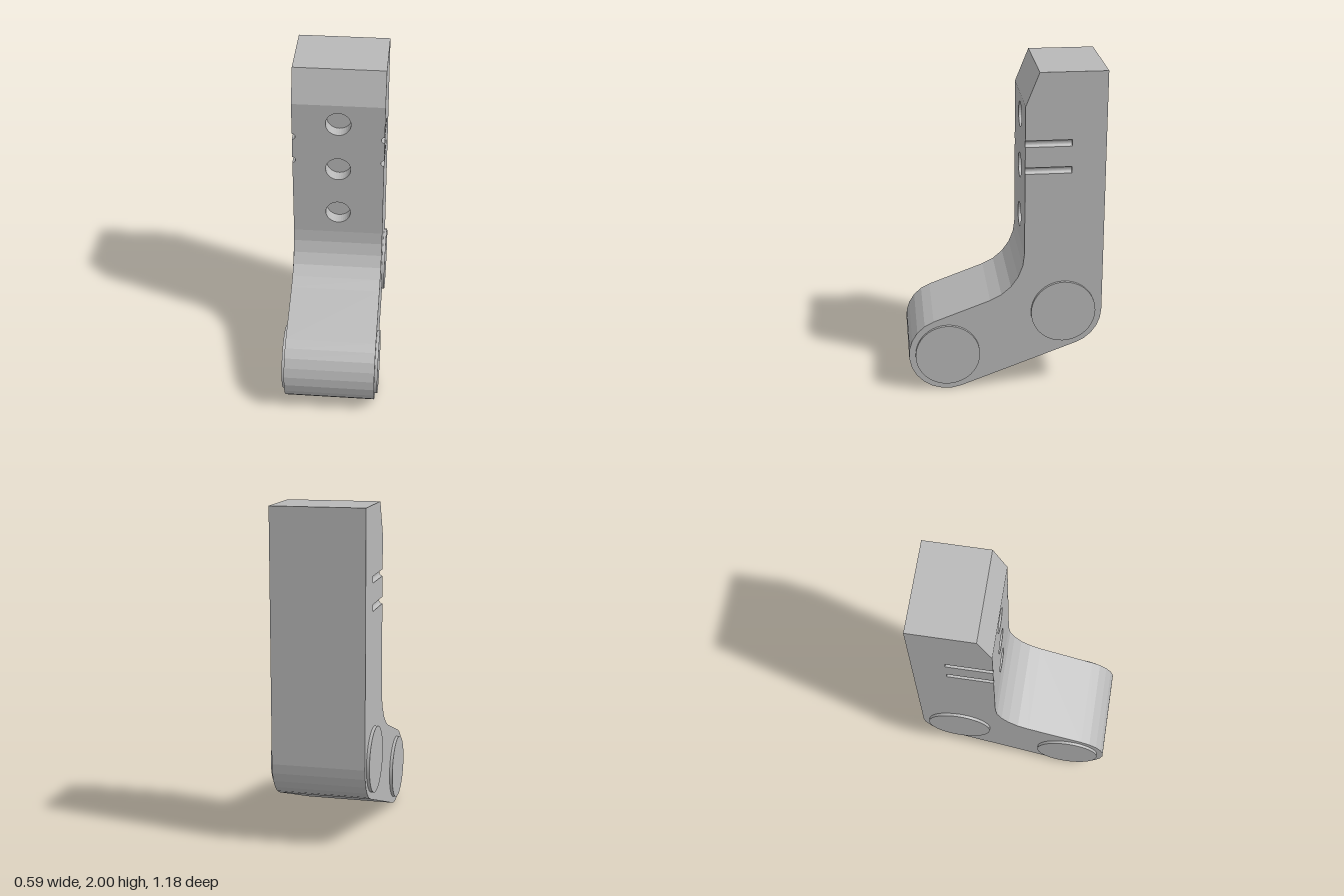
import * as THREE from 'three';

const HALF_W = 0.277;     // half width of the bracket
const FRONT = -0.115;     // z of the front face of the upright
const GROOVE_END = -0.39; // z where the side grooves stop
const LOW = 0.885, HIGH = 1.8; // height range of the drilled section
const PIVOTS = [[0.354, 0.237], [-0.354, 0.5]]; // z, y of the two joints
const RADIUS = 0.237;

// Points along an arc, angles in radians
function arc(cx, cy, r, from, to, steps) {
  return Array.from({ length: steps + 1 }, (_, i) => {
    const a = from + (to - from) * i / steps;
    return new THREE.Vector2(cx + r * Math.cos(a), cy + r * Math.sin(a));
  });
}

// Side profile, drawn in (-z, y), leaving room for the drilled section
function bodyGeometry() {
  const [[z1, y1], [z2, y2]] = PIVOTS;
  const slope = Math.atan2(y2 - y1, z1 - z2);
  const down = slope - Math.PI / 2;
  const fillet = 0.318;
  const v = (x, y) => new THREE.Vector2(x, y);
  const points = [
    ...arc(-z2, y2, RADIUS, down, 0, 5),
    v(0.591, 2), v(0.195, 2), v(-FRONT, HIGH),
    v(-GROOVE_END, HIGH), v(-GROOVE_END, LOW),
    ...arc(-FRONT - fillet, LOW, fillet, 0, down, 5),
    ...arc(-z1, y1, RADIUS, down + Math.PI, down + 2 * Math.PI, 12),
  ];
  const geometry = new THREE.ExtrudeGeometry(new THREE.Shape(points),
    { depth: HALF_W * 2, bevelEnabled: false });
  return geometry.translate(0, 0, -HALF_W).rotateY(Math.PI / 2);
}

// Front section outline with half-round grooves along both sides
function slabGeometry(zBack, zFront, holes) {
  const grooves = [1.41, 1.575], r = 0.02, q = Math.PI / 2;
  const shape = new THREE.Shape();
  shape.moveTo(-HALF_W, LOW);
  shape.lineTo(HALF_W, LOW);
  for (const y of grooves) {
    shape.lineTo(HALF_W, y - r);
    shape.absarc(HALF_W, y, r, -q, -3 * q, true);
  }
  shape.lineTo(HALF_W, HIGH);
  shape.lineTo(-HALF_W, HIGH);
  for (const y of [...grooves].reverse()) {
    shape.lineTo(-HALF_W, y + r);
    shape.absarc(-HALF_W, y, r, q, -q, true);
  }
  shape.closePath();
  for (const y of holes) {
    shape.holes.push(new THREE.Path().absarc(0, y, 0.076, 0, Math.PI * 2, true));
  }
  return new THREE.ExtrudeGeometry(shape,
    { depth: zFront - zBack, bevelEnabled: false, curveSegments: 16 })
    .translate(0, 0, zBack);
}

export function createModel() {
  const group = new THREE.Group();
  const grey = new THREE.MeshStandardMaterial({ color: 0xb8b8b8 });
  grey.name = 'plain grey';

  const add = (name, geometry) => {
    const mesh = new THREE.Mesh(geometry, grey);
    mesh.name = name;
    group.add(mesh);
    return mesh;
  };

  add('bracketBody', bodyGeometry());

  // Drilled front: a solid core and a face layer with three blind holes
  const holeFloor = FRONT - 0.08;
  add('groovedCore', slabGeometry(GROOVE_END, holeFloor, []));
  add('drilledFace', slabGeometry(holeFloor, FRONT, [1.035, 1.355, 1.673]));

  // Round joint caps on both sides
  PIVOTS.forEach(([z, y], i) => {
    for (const side of [-1, 1]) {
      const cap = add((i ? 'rear' : 'front') + (side > 0 ? 'LeftCap' : 'RightCap'),
        new THREE.CylinderGeometry(0.197, 0.197, 0.038, 40).rotateZ(Math.PI / 2));
      cap.position.set(side * (HALF_W - 0.001), y, z);
    }
  });

  return group;
}
